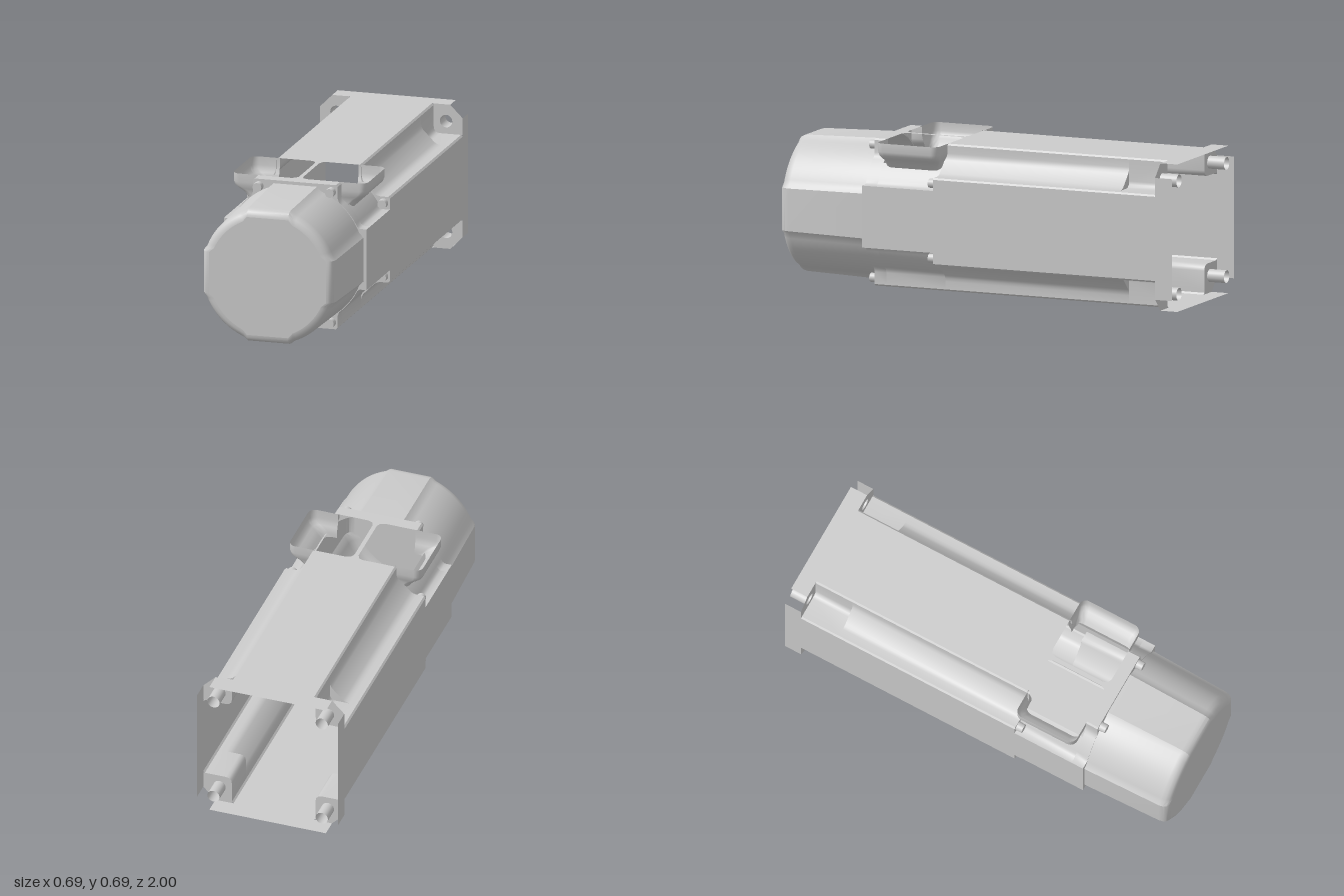
import * as THREE from 'three';
import { toCreasedNormals } from 'three/addons/utils/BufferGeometryUtils.js';

const H = 0.345; // half width of the square housing

// Circular arc, angles in degrees
function arc(r, a0, a1, n) {
  return Array.from({ length: n + 1 }, (_, i) => {
    const a = THREE.MathUtils.degToRad(a0 + ((a1 - a0) * i) / n);
    return [r * Math.cos(a), r * Math.sin(a)];
  });
}

// Skin between rows of 3D points that all have the same length
function loft(rows, closed = false) {
  const n = rows[0].length, index = [];
  for (let r = 0; r < rows.length - 1; r++) {
    for (let i = 0; i < (closed ? n : n - 1); i++) {
      const a = r * n + i, b = r * n + ((i + 1) % n);
      index.push(a, b, b + n, a, b + n, a + n);
    }
  }
  const geo = new THREE.BufferGeometry();
  geo.setAttribute('position', new THREE.Float32BufferAttribute(rows.flat(2), 3));
  geo.setIndex(index);
  return toCreasedNormals(geo, 0.6);
}

const extrudePath = (path, z0, z1) => loft([z0, z1].map((z) => path.map(([x, y]) => [x, y, z])));

const toShape = (pts) => new THREE.Shape(pts.map(([x, y]) => new THREE.Vector2(x, y)));

function plate(pts, z, hole) {
  const shape = toShape(pts);
  if (hole) shape.holes.push(hole);
  return new THREE.ShapeGeometry(shape, 24).translate(0, 0, z);
}

// Repeat a one-quadrant path (running from +y towards +x) around all four corners
function fourCorners(path) {
  const flip = (sx, sy) => path.map(([x, y]) => [x * sx, y * sy]);
  return [...path, ...flip(1, -1).reverse(), ...flip(-1, -1), ...flip(-1, 1).reverse()];
}

// Mirror a half outline (x > 0) into a closed outline
const mirrored = (half) => [...half, ...half.map(([x, z]) => [-x, z]).reverse()];

// Cap section: a circle with four flat raised pads
function capOutline(r, f, w) {
  const a = THREE.MathUtils.radToDeg(Math.asin((w + 0.02) / r));
  return fourCorners([[w, f], ...arc(r, 90 - a, a, 14), [f, w]]);
}

export function createModel() {
  const model = new THREE.Group();
  const body = new THREE.Group();
  body.position.y = H;
  model.add(body);
  const mat = new THREE.MeshStandardMaterial({ color: 0xcccccc, side: THREE.DoubleSide });
  const add = (name, geo, parent = body) => {
    const mesh = new THREE.Mesh(geo, mat);
    mesh.name = name;
    parent.add(mesh);
    return mesh;
  };

  // Corner groove sections: front collar, middle, and rear bolt access
  const edge = [[0.197, H], [0.205, 0.337]];
  const front = [...edge, [0.205, 0.28], ...arc(0.337, 51, 27, 8), [0.312, 0.145], [H, 0.145]];
  const middle = [...edge, [0.205, 0.3], [0.208, 0.284], [0.216, 0.27], [0.27, 0.216],
    [0.284, 0.208], [0.3, 0.205], [0.337, 0.205], [H, 0.197]];
  const rear = [...edge, [0.205, 0.235], [0.208, 0.22], [0.22, 0.208], [0.235, 0.205],
    [0.337, 0.205], [H, 0.197]];
  const zRear = -0.915, zBolt = -0.72, zStep = 0.21, zPod = 0.51, zFront = 0.57;

  const boltHole = new THREE.Path().absarc(0.265, 0.265, 0.03, 0, Math.PI * 2, true);
  const earOutline = [...rear.slice(1, 7), [H, 0.205], [H, 0.285], [0.285, H], [0.205, H]];

  for (const sx of [1, -1]) {
    for (const sy of [1, -1]) {
      const corner = new THREE.Group();
      corner.name = 'corner';
      corner.scale.set(sx, sy, 1);
      body.add(corner);

      add('rearGroove', extrudePath(rear, zRear, zBolt), corner);
      add('middleGroove', extrudePath(middle, zBolt, zStep), corner);
      add('grooveEnd', plate([...middle.slice(2, 8), ...rear.slice(2, 6).reverse()], zBolt), corner);
      add('collarStep', plate([...middle.slice(2), ...front.slice(2).reverse()], zStep), corner);

      // Upper collar is open underneath the connector sockets
      const lower = sy > 0 ? front.filter((p) => p[1] < 0.245) : front;
      add('collarSide', extrudePath(lower, zStep, zPod), corner);
      add('collarFront', extrudePath(front, zPod, zFront), corner);

      // Mounting ear with bolt sleeve
      add('mountingEar', plate(earOutline, zRear, boltHole), corner);
      const sleeve = new THREE.CylinderGeometry(0.03, 0.03, 0.085, 24, 1, true);
      add('boltSleeve', sleeve.rotateX(Math.PI / 2).translate(0.265, 0.265, -0.9575), corner);

      // Cap screws and collar screws
      for (const [x, y, z] of [[0.175, 0.312, zFront], [0.315, 0.175, zStep]]) {
        const screw = new THREE.CylinderGeometry(0.021, 0.022, 0.034, 24);
        add('screw', screw.rotateX(Math.PI / 2).translate(x, y, z + 0.015), corner);
      }
    }

    // Side wall
    const half = [[0.285, -1], [0.285, zRear], [0.197, zRear], [0.197, zStep], [0.145, zStep], [0.145, zFront]];
    const wall = new THREE.ShapeGeometry(toShape(mirrored(half)));
    add('sideWall', wall.rotateX(Math.PI / 2).rotateZ(Math.PI / 2).translate(sx * H, 0, 0));

    // Open connector socket: U-shaped skirt narrowing towards the housing
    const rows = [[0.345, 0.325, 0], [0.305, 0.325, 0], [0.287, 0.319, 0.003], [0.272, 0.303, 0.008],
      [0.26, 0.284, 0.012], [0.24, 0.266, 0.014], [0.22, 0.25, 0.014]].map(([y, x, inset]) => {
      const z0 = 0.2 + inset, z1 = zPod - inset, r = 0.035;
      const round = (z, a0, a1) => arc(r, a0, a1, 6).map(([u, v]) => [x - r + u, y, z + v]);
      return [[0.19, y, z0], ...round(z0 + r, -90, 0), ...round(z1 - r, 0, 90), [0.19, y, z1]];
    });
    add('connectorSocket', loft(rows)).scale.x = sx;
  }

  // Bottom and top walls; the top is cut away for the two sockets
  const tail = [[0.285, -1], [0.285, zRear], [0.197, zRear]];
  const cut = [[0.197, 0.2], [0.04, 0.2], [0.019, 0.209], [0.01, 0.23], [0.01, 0.48],
    [0.019, 0.501], [0.04, zPod], [0.197, zPod]];
  const flat = (half, y) =>
    new THREE.ShapeGeometry(toShape(mirrored(half))).rotateX(Math.PI / 2).translate(0, y, 0);
  add('bottomWall', flat([...tail, [0.197, zFront]], -H));
  add('topWall', flat([...tail, ...cut, [0.197, zFront]], H));

  // Front flange around the cap
  const levels = [[zFront, 0.334, 0.33, 0.105], [0.955, 0.326, 0.319, 0.1], [0.975, 0.322, 0.315, 0.1],
    [0.99, 0.312, 0.306, 0.1], [0.998, 0.298, 0.294, 0.1], [1, 0.285, 0.282, 0.1]];
  add('frontFlange', plate(fourCorners(front), zFront, toShape(capOutline(0.334, 0.33, 0.105))));

  // Tapered end cap
  const loops = levels.map(([z, r, f, w]) => capOutline(r, f, w).map(([x, y]) => [x, y, z]));
  add('endCapSide', loft(loops, true));
  add('endCapFace', plate(capOutline(0.285, 0.282, 0.1), 1));

  return model;
}
